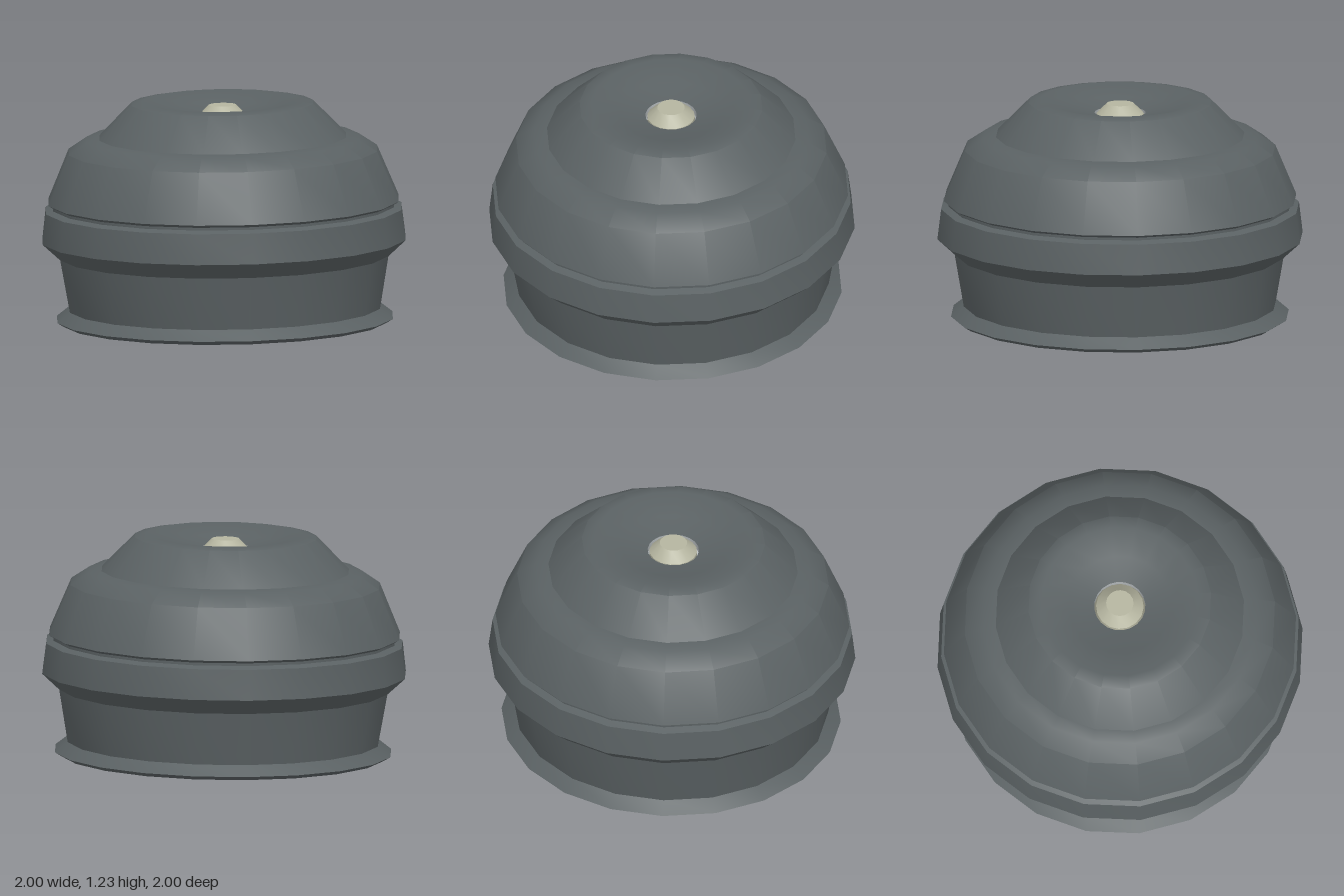
import * as THREE from 'three';
import { toCreasedNormals } from 'three/addons/utils/BufferGeometryUtils.js';

const PHASE = 0.06; // turn of the facets about the axis

// Revolves a list of [radius, height] pairs, keeping strong bends sharp
function revolve(name, profile, color, segments = 20, crease = 0.62) {
  const points = profile.map(([r, y]) => new THREE.Vector2(r, y));
  const geometry = toCreasedNormals(new THREE.LatheGeometry(points, segments, PHASE), crease);
  const mesh = new THREE.Mesh(geometry, new THREE.MeshStandardMaterial({ color }));
  mesh.name = name;
  return mesh;
}

export function createModel() {
  const model = new THREE.Group();
  model.name = 'lampShade';

  // Outer shell: flared foot, collar, groove, dome, cap and dished top
  model.add(revolve('outerShell', [
    [0.86, 0.02], [0.89, 0.013], [0.925, 0.035], [0.855, 0.09],
    [0.905, 0.38], [1.0, 0.468], [0.98, 0.635], [0.94, 0.65],
    [0.94, 0.665], [0.965, 0.68], [0.85, 0.955], [0.75, 1.022],
    [0.68, 1.03], [0.5, 1.215], [0.43, 1.228], [0.28, 1.18], [0.14, 1.155],
  ], 0x5a6163));

  // Pale lining, from the bulb hole down to the foot
  model.add(revolve('innerLining', [
    [0.14, 1.155], [0.14, 1.12], [0.28, 1.145], [0.42, 1.19], [0.47, 1.18],
    [0.66, 0.99], [0.73, 0.985], [0.82, 0.93], [0.92, 0.68],
    [0.9, 0.67], [0.9, 0.645], [0.94, 0.62], [0.955, 0.48],
    [0.87, 0.385], [0.815, 0.09], [0.86, 0.02],
  ], 0xb0b5b7));

  // Bulb: round globe below, neck through the hole, flat tapered tip
  const bulb = [];
  for (let i = 0; i <= 7; i++) {
    const a = -Math.PI / 2 + i * Math.PI / 9;
    bulb.push([Math.max(0, 0.31 * Math.cos(a)), 0.57 + 0.31 * Math.sin(a)]);
  }
  bulb.push([0.13, 0.96], [0.13, 1.15], [0.075, 1.205], [0, 1.205]);
  model.add(revolve('bulb', bulb, 0xb5b5a0, 16, 0.7));

  // Slight lean of the whole lamp
  model.rotation.set(0.009, 0, 0.009);
  model.position.set(0.004, 0, -0.004);
  const group = new THREE.Group();
  group.name = 'lamp';
  group.add(model);
  return group;
}
